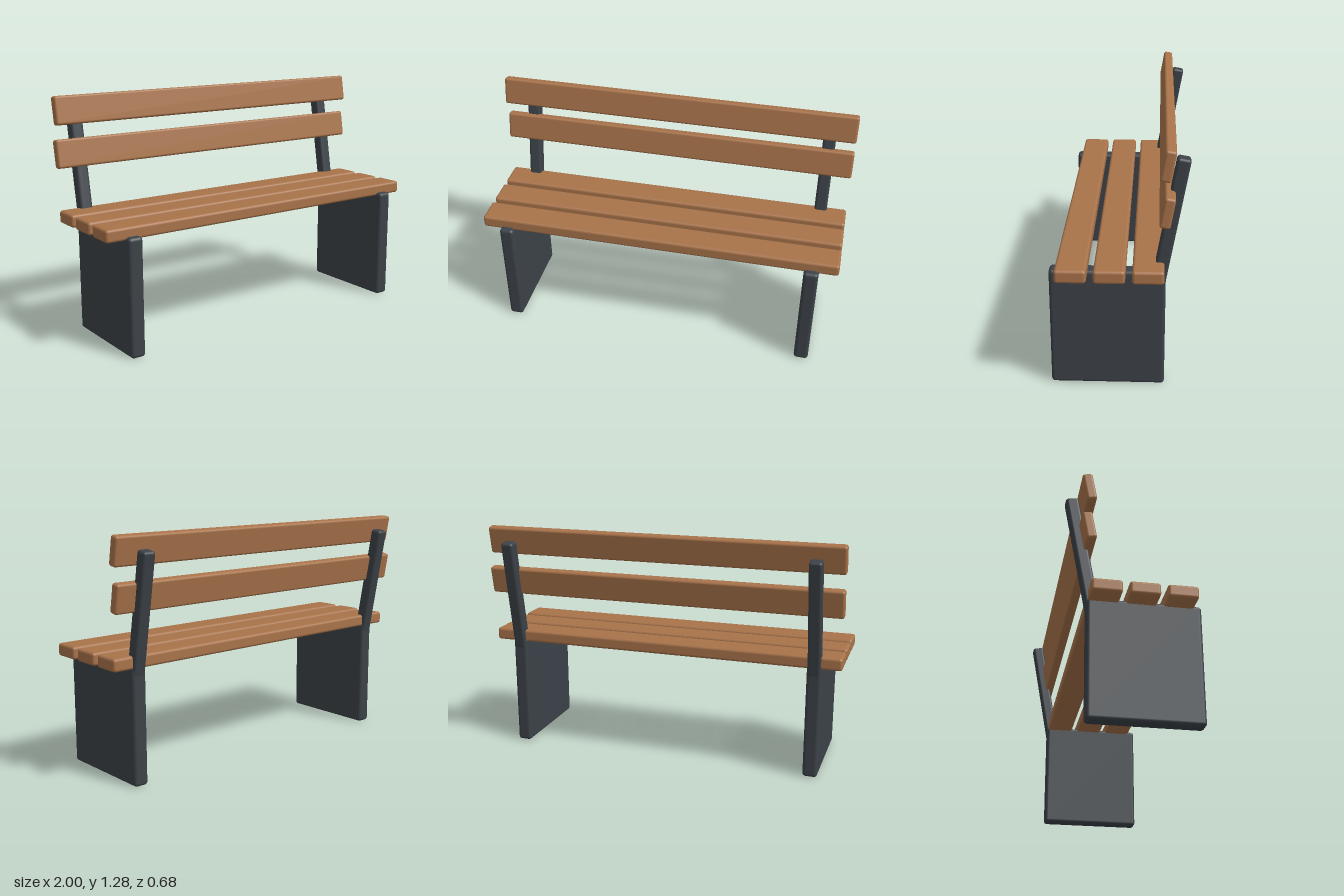
import * as THREE from 'three';
import { RoundedBoxGeometry } from 'three/addons/geometries/RoundedBoxGeometry.js';

const TILT = -THREE.MathUtils.degToRad(10); // lean of the backrest

export function createModel() {
  const bench = new THREE.Group();
  bench.name = 'bench';

  const wood = new THREE.MeshStandardMaterial({ color: 0xa8734a });
  wood.name = 'warm wood';
  const metal = new THREE.MeshStandardMaterial({ color: 0x3c4248 });
  metal.name = 'dark metal';

  function addBlock(name, material, size, position, radius, tilt = 0) {
    const mesh = new THREE.Mesh(new RoundedBoxGeometry(...size, 3, radius), material);
    mesh.name = name;
    mesh.position.set(...position);
    mesh.rotation.x = tilt;
    bench.add(mesh);
  }

  // side panels and leaning back posts, mirrored left and right
  for (const [side, s] of [['left', 1], ['right', -1]]) {
    addBlock(`${side}SidePanel`, metal, [0.08, 0.63, 0.57], [s * 0.855, 0.315, 0.055], 0.018);
    addBlock(`${side}BackPost`, metal, [0.07, 0.66, 0.067], [s * 0.855, 0.88, -0.25], 0.015, TILT);
  }

  // three seat slats, front to back
  [0.226, 0.04, -0.146].forEach((z, i) =>
    addBlock(`seatSlat${i + 1}`, wood, [2, 0.068, 0.153], [0, 0.646, z], 0.015));

  // two backrest slats, bottom to top
  [0.977, 1.205].forEach((y, i) =>
    addBlock(`backSlat${i + 1}`, wood, [2, 0.152, 0.052], [0, y, -0.232], 0.013, TILT));

  return bench;
}
